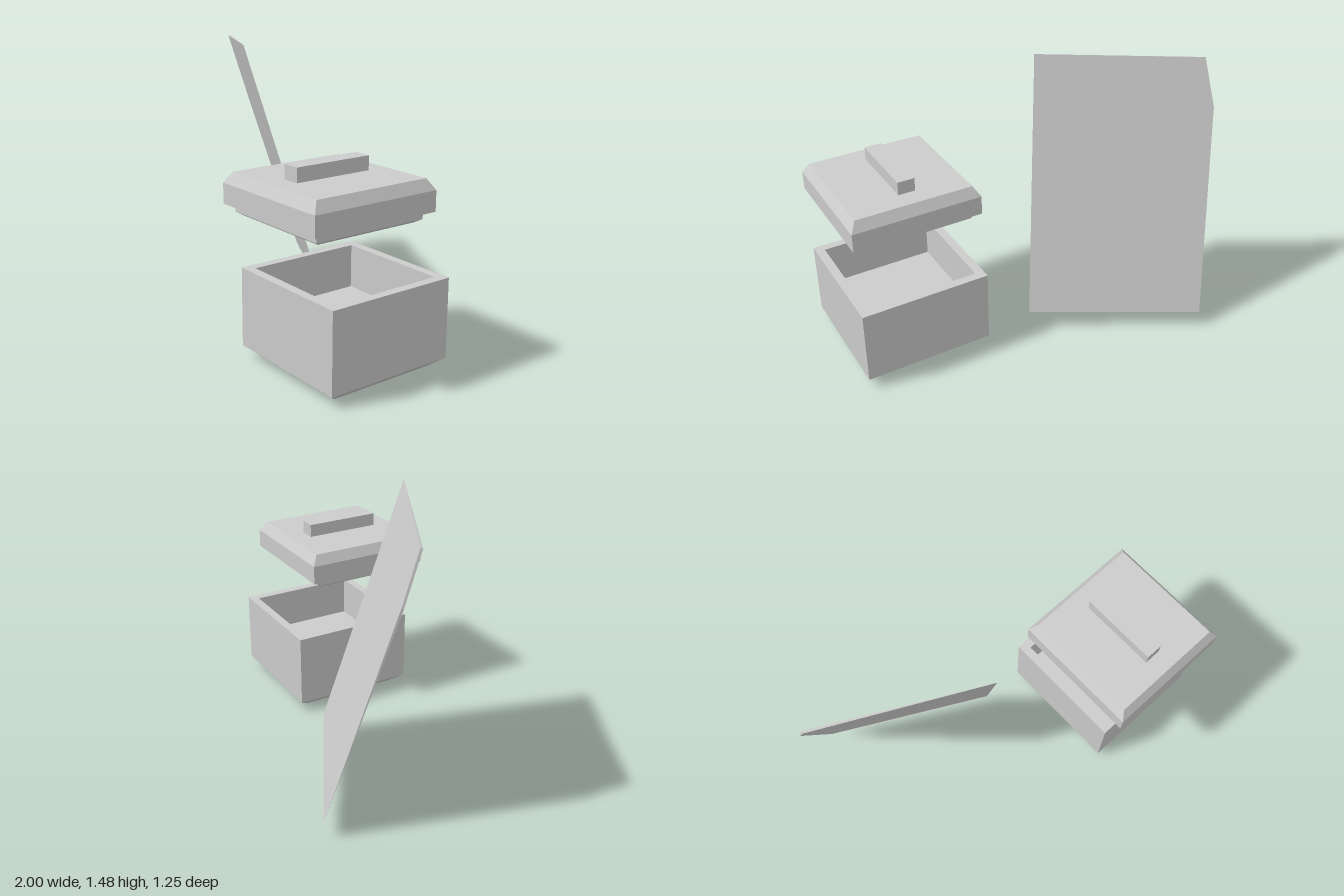
import * as THREE from 'three';

const material = new THREE.MeshStandardMaterial({ color: 0xcccccc, flatShading: true });

function addPart(parent, name, geometry, x = 0, y = 0, z = 0) {
  const flat = geometry.index ? geometry.toNonIndexed() : geometry;
  flat.computeVertexNormals();
  const mesh = new THREE.Mesh(flat, material);
  mesh.name = name;
  mesh.position.set(x, y, z);
  parent.add(mesh);
  return mesh;
}

// Square solid from a profile of [half width, height] pairs, bottom to top
function squareLathe(profile) {
  const points = profile.map(([half, y]) => new THREE.Vector2(half * Math.SQRT2, y));
  return new THREE.LatheGeometry(points, 4, Math.PI / 4);
}

// Flat polygons, each given as corners in counter-clockwise order
function polygons(faces) {
  const positions = [];
  for (const face of faces)
    for (let i = 1; i < face.length - 1; i++)
      positions.push(...face[0], ...face[i], ...face[i + 1]);
  const geometry = new THREE.BufferGeometry();
  geometry.setAttribute('position', new THREE.Float32BufferAttribute(positions, 3));
  return geometry;
}

export function createModel() {
  const model = new THREE.Group();
  model.name = 'lidded box with panel';

  // Open box with a bevelled foot and a recessed floor
  addPart(model, 'box', squareLathe([
    [0, 0], [0.285, 0], [0.353, 0.055], [0.353, 0.463],
    [0.305, 0.463], [0.305, 0.235], [0, 0.235],
  ]), 0.647, 0, 0.185);

  // Floating lid: bevelled plug below, bevelled cap above, bar handle on top
  const lid = new THREE.Group();
  lid.name = 'lid';
  lid.position.set(0.627, 0, 0.27);
  model.add(lid);
  addPart(lid, 'lidBody', squareLathe([
    [0, 0.742], [0.283, 0.742], [0.312, 0.76], [0.312, 0.797], [0.353, 0.797],
    [0.353, 0.9], [0.319, 0.955], [0, 0.955],
  ]));
  addPart(lid, 'lidHandle', new THREE.BoxGeometry(0.093, 0.083, 0.425), -0.004, 0.986, 0.001);

  // Leaning thin panel with one clipped corner, thickest along the clipped edge
  const topRight = [-0.195, 1.482, 0.185];
  const bottomRight = [0.035, 0.112, -0.165];
  const bottomLeft = [-0.805, 0.09, -0.623];
  const topFront = [-0.99, 1.45, -0.235];
  const topBack = [-0.984, 1.454, -0.246];
  const clipFront = [-1, 1.2, -0.33];
  const clipBack = [-0.995, 1.203, -0.34];
  addPart(model, 'panel', polygons([
    [bottomRight, topRight, topFront, clipFront, bottomLeft],
    [bottomRight, bottomLeft, clipBack, topBack, topRight],
    [topFront, topRight, topBack],
    [topFront, topBack, clipBack, clipFront],
    [clipFront, clipBack, bottomLeft],
  ]));

  return model;
}
